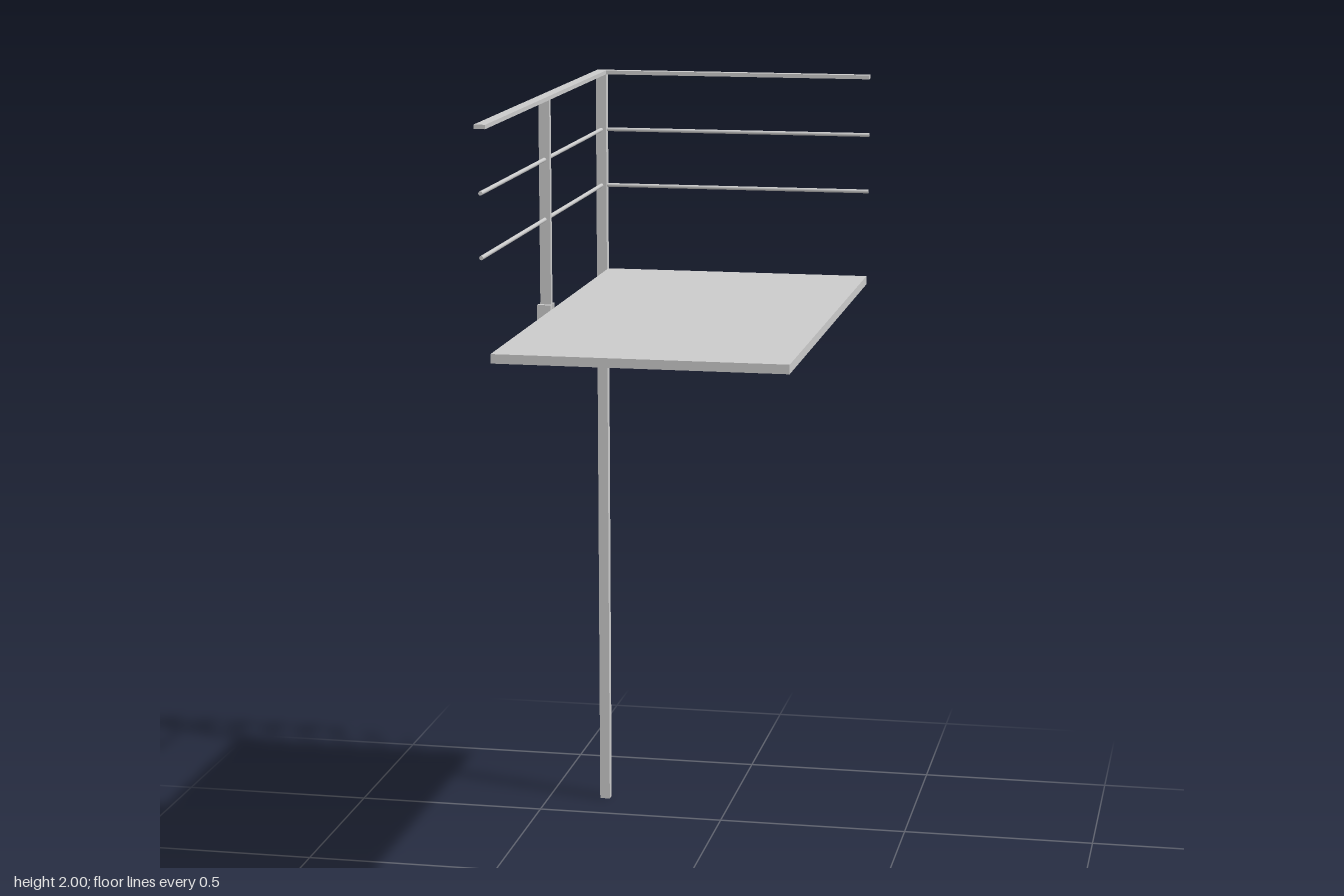
import * as THREE from 'three';

const material = new THREE.MeshStandardMaterial({ color: 0xcccccc });

export function createModel() {
  const group = new THREE.Group();

  const add = (name, geometry) => {
    const mesh = new THREE.Mesh(geometry, material);
    mesh.name = name;
    group.add(mesh);
    return mesh;
  };

  // Box given by its lower and upper limits on each axis
  const box = (name, [x0, x1], [y0, y1], [z0, z1]) =>
    add(name, new THREE.BoxGeometry(x1 - x0, y1 - y0, z1 - z0))
      .position.set((x0 + x1) / 2, (y0 + y1) / 2, (z0 + z1) / 2);

  const postX = [-0.36, -0.333];
  const postZ = [-0.649, -0.624];
  const endX = 0.362, endZ = 0.649;
  const midX = -0.3465, midZ = -0.6365;

  // Platform
  box('deck', [-0.328, endX], [1.456, 1.478], [-0.62, endZ]);

  // Tall corner post and the short railing post
  box('cornerPost', postX, [0, 1.99], postZ);
  box('railingPost', postX, [1.456, 1.99], [0.008, 0.024]);

  // Flat handrails meeting at the corner
  box('sideHandrail', postX, [1.99, 2], [-0.649, endZ]);
  box('backHandrail', [postX[1], endX], [1.99, 2], postZ);

  // Thin round rails below the handrails
  for (const y of [1.845, 1.698]) {
    const sideLength = endZ - midZ;
    const side = add('sideRail', new THREE.CylinderGeometry(0.005, 0.005, sideLength, 12));
    side.rotation.x = Math.PI / 2;
    side.position.set(midX, y, midZ + sideLength / 2);

    const backLength = endX - midX;
    const back = add('backRail', new THREE.CylinderGeometry(0.005, 0.005, backLength, 12));
    back.rotation.z = Math.PI / 2;
    back.position.set(midX + backLength / 2, y, midZ);
  }

  // Pair of bracket plates clasping the railing post and running under the deck
  const profile = new THREE.Shape([
    [-0.365, 1.488], [-0.365, 1.435], [-0.338, 1.415], [-0.09, 1.415],
    [-0.013, 1.456], [-0.331, 1.456], [-0.331, 1.488],
  ].map(([x, y]) => new THREE.Vector2(x, y)));
  for (const z of [-0.006, 0.024]) {
    add('bracketPlate', new THREE.ExtrudeGeometry(profile, { depth: 0.014, bevelEnabled: false }))
      .position.z = z;
  }

  return group;
}
